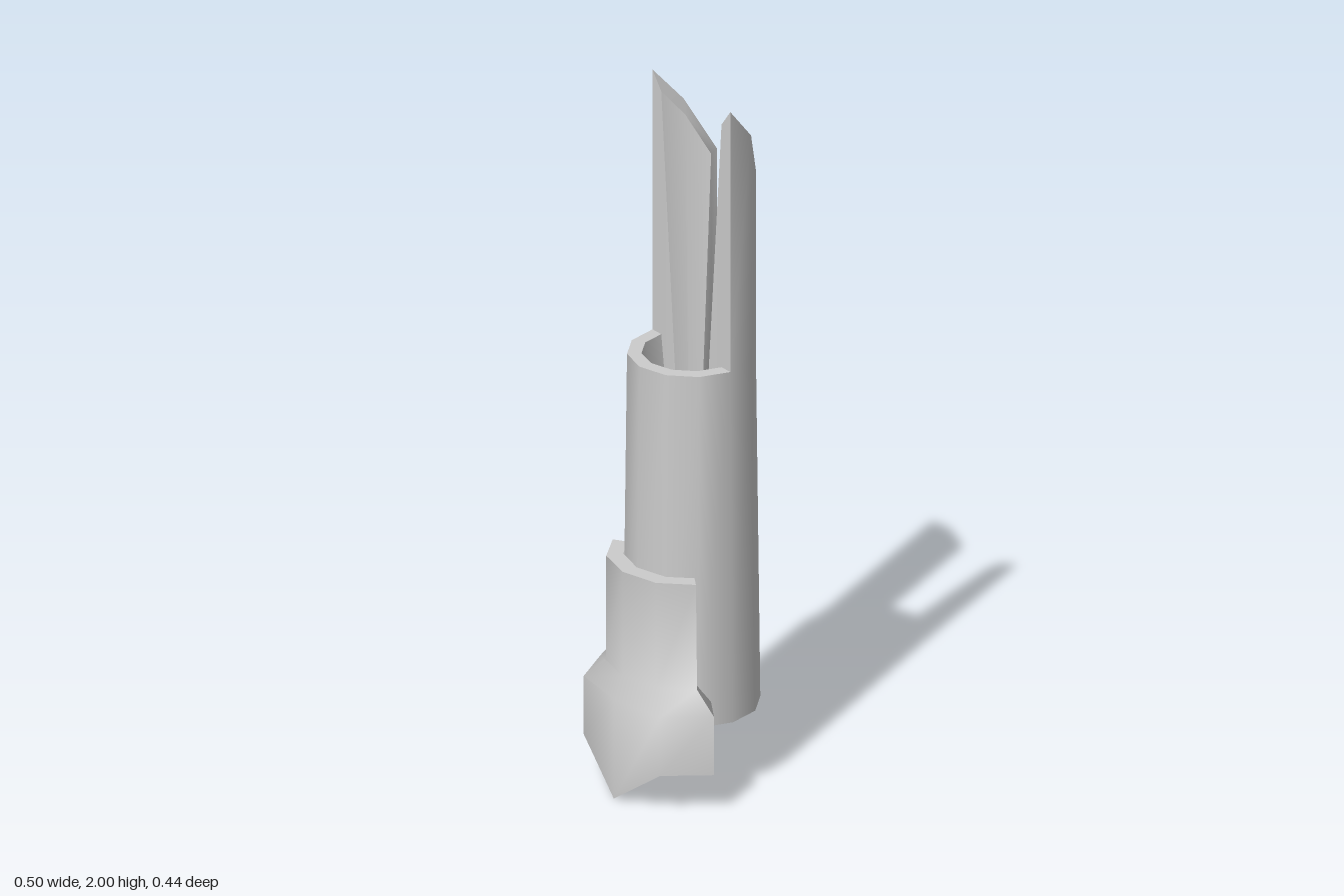
import * as THREE from 'three';
import { toCreasedNormals } from 'three/addons/utils/BufferGeometryUtils.js';

const material = new THREE.MeshStandardMaterial({ color: 0xcccccc, side: THREE.DoubleSide });

// Collects polygons (corners counter-clockwise from outside) into one mesh
function faceBuilder() {
  const positions = [];
  return {
    face(...corners) {
      for (let i = 1; i < corners.length - 1; i++) {
        positions.push(...corners[0], ...corners[i], ...corners[i + 1]);
      }
    },
    mesh(name, crease) {
      const geometry = new THREE.BufferGeometry();
      geometry.setAttribute('position', new THREE.Float32BufferAttribute(positions, 3));
      const mesh = new THREE.Mesh(toCreasedNormals(geometry, crease), material);
      mesh.name = name;
      return mesh;
    },
  };
}

// Twelve-sided tapered tube with a conical bore and two pointed prongs
const SIDES = 12, AXIS_Z = -0.0385;
const BASE_Y = 0.22, RIM_Y = 1.24;
const R_BASE = 0.185, R_RIM = 0.173, R_BORE = 0.134;
const APEX = [0, BASE_Y, AXIS_Z];
const OUTER_TOP = [2, 1.9, 1.76];
const INNER_TOP = [1.95, 1.87, 1.76];

function ringPoint(k, radius, y) {
  const a = (k / SIDES) * Math.PI * 2;
  return [radius * Math.cos(a), y, AXIS_Z - radius * Math.sin(a)];
}

function tubeWithProngs() {
  const b = faceBuilder();
  const isProng = (k) => k === 0 || k === 1 || k === 4 || k === 5;
  const step = (k) => Math.min(k, 6 - k);
  const outerTop = (k) => ringPoint(k, R_RIM, OUTER_TOP[step(k)]);
  const innerTop = (k) => ringPoint(k, R_BORE, INNER_TOP[step(k)]);
  const outerRim = (k) => ringPoint(k, R_RIM, RIM_Y);
  const innerRim = (k) => ringPoint(k, R_BORE, RIM_Y);
  const base = (k) => ringPoint(k, R_BASE, BASE_Y);

  for (let k = 0; k < SIDES; k++) {
    const n = k + 1;
    const outer = isProng(k) ? outerTop : outerRim;
    const inner = isProng(k) ? innerTop : innerRim;
    b.face(base(k), base(n), outerRim(n), outerRim(k));
    if (isProng(k)) b.face(outerRim(k), outerRim(n), outerTop(n), outerTop(k));
    b.face(outer(k), outer(n), inner(n), inner(k)); // top edge
    b.face(inner(n), APEX, inner(k)); // bore
  }
  // Radial side walls of the prongs, running down into the bore
  for (const k of [0, 4]) {
    b.face(innerRim(k), outerRim(k), outerTop(k), innerTop(k));
    b.face(APEX, innerRim(k), innerTop(k));
  }
  for (const k of [2, 6]) {
    b.face(innerTop(k), outerTop(k), outerRim(k), innerRim(k));
    b.face(innerTop(k), innerRim(k), APEX);
  }
  return b.mesh('tubeWithProngs', 0.6);
}

// Flared front guard: half-rows run from the back edge to the centre line
function frontGuard() {
  const b = faceBuilder();
  const mirrorRow = (half) => [
    ...half.map(([x, y, z]) => [-x, y, z]),
    ...half.slice(0, -1).reverse(),
  ];
  const rows = [
    [[0.165, 0.12, 0.035], [0.252, 0.12, 0.075], [0.17, 0.12, 0.193], [0, 0, 0.22]],
    [[0.165, 0.29, 0.02], [0.252, 0.29, 0.075], [0.17, 0.29, 0.193], [0, 0.29, 0.22]],
    [[0.15, 0.35, 0.062], [0.19, 0.35, 0.085], [0.112, 0.35, 0.163], [0, 0.35, 0.19]],
    [[0.148, 0.655, 0.062], [0.185, 0.655, 0.085], [0.11, 0.655, 0.163], [0, 0.655, 0.19]],
  ].map(mirrorRow);

  for (let r = 0; r < rows.length - 1; r++) {
    const low = rows[r], up = rows[r + 1];
    for (let i = 0; i < low.length - 1; i++) {
      b.face(low[i], low[i + 1], up[i + 1], up[i]);
    }
  }
  // Top ledge
  const outer = rows[3].slice(1, -1);
  const inner = mirrorRow([[0.148, 0.655, 0.062], [0.095, 0.655, 0.118], [0, 0.655, 0.143]]);
  for (let i = 0; i < 4; i++) b.face(outer[i], outer[i + 1], inner[i + 1], inner[i]);
  return b.mesh('frontGuard', 1.0);
}

export function createModel() {
  const group = new THREE.Group();
  group.name = 'prongedTube';
  group.add(tubeWithProngs(), frontGuard());
  return group;
}
